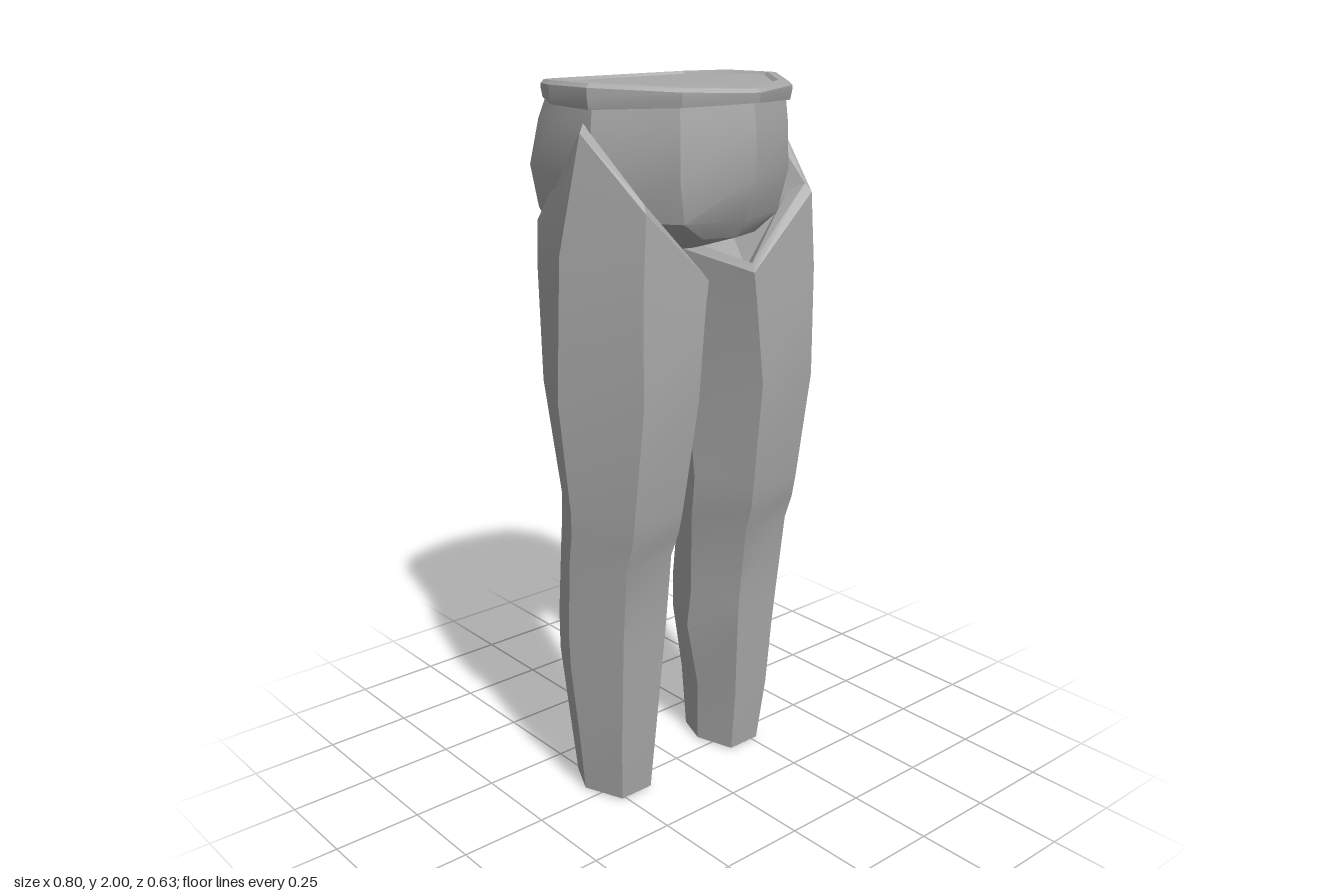
import * as THREE from 'three';
import { toCreasedNormals } from 'three/addons/utils/BufferGeometryUtils.js';

const cloth = new THREE.MeshStandardMaterial({ color: 0xaaaaaa });
cloth.name = 'grey cloth';

// Skin a stack of rings (bottom to top, each running front -> +x -> back -> -x).
function loft(rings, capBottomY, capTopY) {
  const n = rings[0].length, pos = [], idx = [];
  rings.forEach(r => r.forEach(p => pos.push(...p)));
  for (let r = 0; r < rings.length - 1; r++) {
    for (let j = 0; j < n; j++) {
      const k = (j + 1) % n, a = r * n + j, b = r * n + k;
      idx.push(a, b, b + n, a, b + n, a + n);
    }
  }
  const cap = (r, y, up) => {
    const c = centre(rings[r]), ci = pos.length / 3;
    pos.push(c[0], y, c[2]);
    for (let j = 0; j < n; j++) {
      const a = r * n + j, b = r * n + (j + 1) % n;
      if (up) idx.push(a, b, ci); else idx.push(b, a, ci);
    }
  };
  cap(0, capBottomY, false);
  cap(rings.length - 1, capTopY, true);
  const g = new THREE.BufferGeometry();
  g.setAttribute('position', new THREE.Float32BufferAttribute(pos, 3));
  g.setIndex(idx);
  return toCreasedNormals(g, 0.4);
}

function centre(ring) {
  return [0, 1, 2].map(i => ring.reduce((s, p) => s + p[i], 0) / ring.length);
}

// Shrink a ring towards its own centre and shift it vertically.
function inset(ring, s, dy) {
  const c = centre(ring);
  return ring.map(p => [c[0] + (p[0] - c[0]) * s, p[1] + dy, c[2] + (p[2] - c[2]) * s]);
}

// Complete a half outline of [x, z] points (front centre to back centre).
function fullRing(half, y) {
  const pts = half.concat(half.slice(1, -1).reverse().map(([x, z]) => [-x, z]));
  return pts.map(([x, z]) => [x, typeof y === 'function' ? y(z) : y, z]);
}

function part(name, geometry) {
  const m = new THREE.Mesh(geometry, cloth);
  m.name = name;
  return m;
}

// Six-sided leg: y, outer x, front/back outer x, front/back inner x, inner x, front z, back z
const legRows = [
  [0.005, 0.31, 0.265, 0.16, 0.125, 0.07, -0.14],
  [0.20, 0.33, 0.28, 0.155, 0.12, 0.09, -0.155],
  [0.40, 0.348, 0.285, 0.145, 0.085, 0.105, -0.185],
  [0.52, 0.358, 0.29, 0.14, 0.093, 0.115, -0.178],
  [0.75, 0.367, 0.295, 0.14, 0.07, 0.14, -0.152],
  [0.82, 0.371, 0.295, 0.135, 0.062, 0.165, -0.145],
  [0.89, 0.377, 0.297, 0.13, 0.06, 0.177, -0.14],
  [1.20, 0.402, 0.30, 0.115, 0.038, 0.222, -0.207],
];

function legRings() {
  const rings = legRows.map(([y, xo, fo, fi, xi, zf, zb]) => {
    const zm = (zf + zb) / 2 - 0.01;
    return [[fo, y, zf], [xo, y, zm], [fo, y, zb], [fi, y, zb], [xi, y, zm], [fi, y, zf]];
  });
  // Thigh
  rings.push([[0.298, 1.5, 0.222], [0.387, 1.58, 0], [0.295, 1.5, -0.225],
    [0.09, 1.47, -0.225], [0.017, 1.46, -0.01], [0.09, 1.44, 0.218]]);
  // Slanted opening, high on the hip and low at the crotch
  const rim = [[0.285, 1.70, 0.218], [0.338, 1.88, 0.03], [0.28, 1.63, -0.24],
    [0.08, 1.585, -0.24], [0.01, 1.555, -0.01], [0.08, 1.51, 0.218]];
  // Rolled hem that turns inwards
  rings.push(rim, inset(rim, 0.92, 0.022), inset(rim, 0.72, 0));
  return rings;
}

export function createModel() {
  const model = new THREE.Group();
  model.name = 'trousers';

  // Legs, mirrored across x
  const left = legRings();
  const right = left.map(r => r.map(([x, y, z]) => [-x, y, z]).reverse());
  model.add(part('leftLeg', loft(left, 0, 1.62)), part('rightLeg', loft(right, 0, 1.62)));

  // Hips, tapering to the crotch between the legs
  const hips = [
    fullRing([[0, 0.07], [0.06, 0.06], [0.09, 0.02], [0.09, -0.04], [0.08, -0.09], [0.05, -0.11], [0, -0.11]], 1.565),
    fullRing([[0, 0.235], [0.09, 0.205], [0.2, 0.05], [0.24, -0.1], [0.25, -0.235], [0.1, -0.26], [0, -0.245]], 1.615),
    fullRing([[0, 0.265], [0.16, 0.215], [0.28, 0.05], [0.29, -0.12], [0.26, -0.26], [0.11, -0.285], [0, -0.275]], 1.66),
    fullRing([[0, 0.302], [0.185, 0.228], [0.315, 0.05], [0.318, -0.12], [0.268, -0.283], [0.115, -0.315], [0, -0.308]], 1.77),
    fullRing([[0, 0.298], [0.182, 0.225], [0.315, 0.045], [0.312, -0.12], [0.255, -0.258], [0.115, -0.298], [0, -0.298]], 1.89),
    fullRing([[0, 0.288], [0.178, 0.218], [0.305, 0.04], [0.3, -0.12], [0.24, -0.235], [0.115, -0.28], [0, -0.288]], 1.96),
  ];
  model.add(part('hips', loft(hips, 1.555, 1.96)));

  // Waistband, dipping slightly at front and back, with a closed top
  const outline = [[0, 0.313], [0.185, 0.235], [0.325, 0.045], [0.318, -0.12], [0.252, -0.248], [0.12, -0.297], [0, -0.312]];
  const low = fullRing(outline, z => 1.935 + 0.015 * (z / 0.3) ** 2);
  const high = fullRing(outline, z => 1.988 - 0.012 * (z / 0.3) ** 2);
  const band = [inset(low, 0.93, 0), inset(low, 0.985, 0), inset(low, 1, 0.025), high,
    inset(high, 0.97, 0.01), inset(high, 0.895, 0.012), inset(high, 0.87, 0.004)];
  model.add(part('waistband', loft(band, 1.94, 1.985)));

  return model;
}
